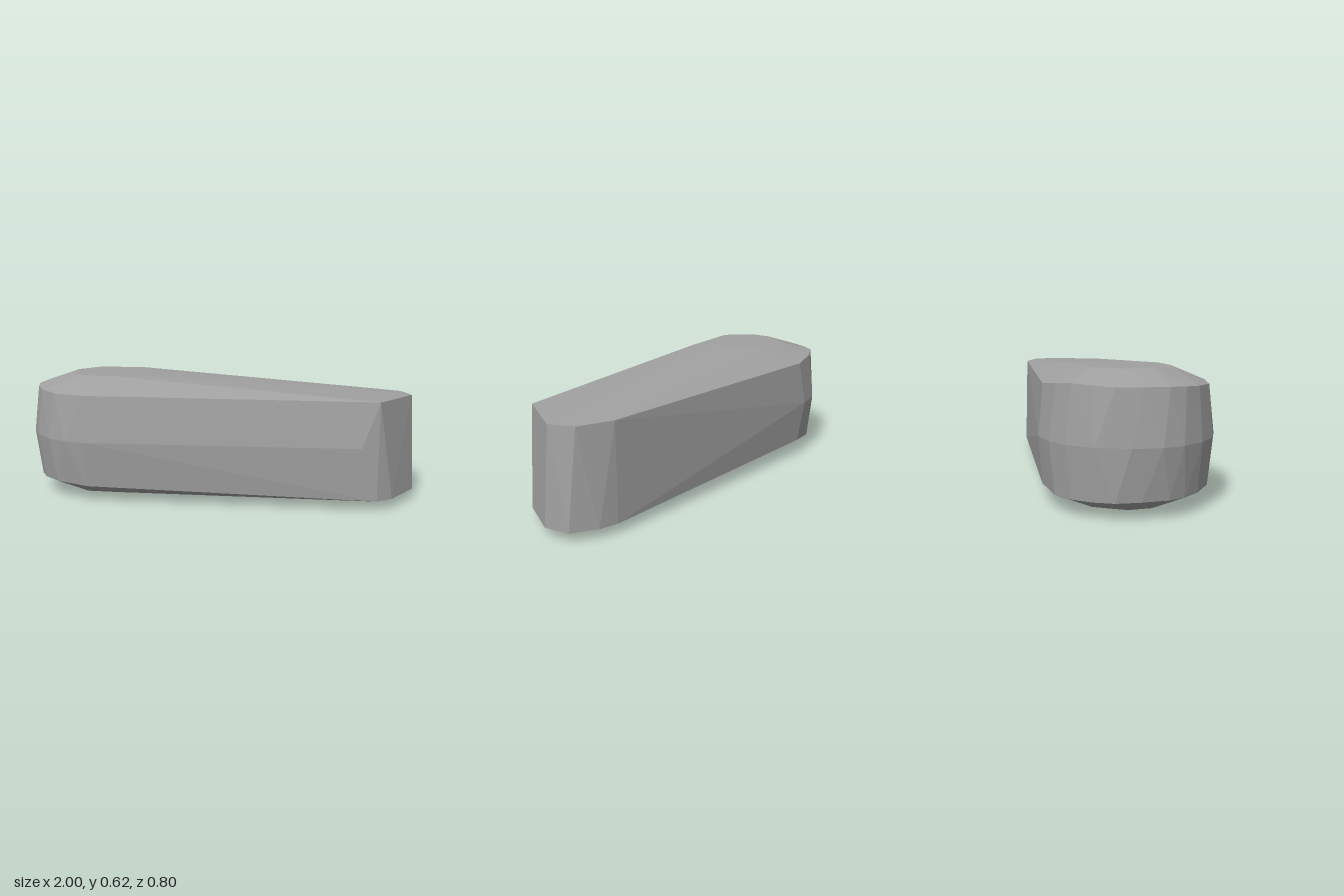
import * as THREE from 'three';
import { ConvexGeometry } from 'three/addons/geometries/ConvexGeometry.js';

// Cross-sections of the tapered block as [x, z] outlines; rims carry [x, z, y]
const plateau = [
  [-0.79, -0.05], [-0.79, 0.06], [-0.68, 0.185], [-0.53, 0.185],
  [-0.42, 0.11], [-0.4, -0.08], [-0.45, -0.185], [-0.7, -0.185],
];
const topRim = [
  [-0.57, -0.375, 0.54], [-0.73, -0.352, 0.556], [-0.82, -0.315, 0.565],
  [-0.89, -0.24, 0.56], [-0.945, -0.16, 0.555], [-0.965, -0.05, 0.555],
  [-0.965, 0.07, 0.553], [-0.94, 0.15, 0.55], [-0.89, 0.23, 0.545],
  [-0.79, 0.32, 0.54], [-0.62, 0.375, 0.541],
  [0.81, 0.285, 0.532], [0.975, 0.02, 0.53], [0.93, -0.1, 0.53], [0.77, -0.18, 0.53],
];
const middle = [
  [-1, 0.03], [-0.985, -0.1], [-0.92, -0.24], [-0.83, -0.335], [-0.73, -0.385],
  [-0.6, -0.402], [-0.62, 0.398], [-0.73, 0.375], [-0.83, 0.325],
  [-0.92, 0.235], [-0.98, 0.13], [0.73, 0.315],
];
const bottomRim = [
  [-0.57, -0.38, 0.09], [-0.73, -0.36, 0.075], [-0.82, -0.315, 0.075],
  [-0.89, -0.24, 0.075], [-0.945, -0.16, 0.078], [-0.965, -0.05, 0.08],
  [-0.965, 0.07, 0.08], [-0.94, 0.15, 0.08], [-0.89, 0.23, 0.083],
  [-0.79, 0.32, 0.088], [-0.62, 0.375, 0.083],
  [0.81, 0.3, 0.05], [0.885, 0.245, 0.05], [1, 0.045, 0.05],
  [0.98, -0.08, 0.05], [0.87, -0.16, 0.05], [0.78, -0.19, 0.05],
];

const section = (outline, y) =>
  outline.map(([x, z, ownY]) => new THREE.Vector3(x, ownY ?? y, z));

export function createModel() {
  const group = new THREE.Group();
  const grey = new THREE.MeshStandardMaterial({ color: 0xa0a0a0 });
  grey.name = 'grey';

  // Faceted skin stretched over the stacked sections
  const geometry = new ConvexGeometry([
    ...section(plateau, 0.615),
    ...section(topRim),
    ...section(middle, 0.31),
    ...section(bottomRim),
    ...section(plateau, 0),
  ]);
  const body = new THREE.Mesh(geometry, grey);
  body.name = 'taperedBody';
  group.add(body);
  return group;
}
